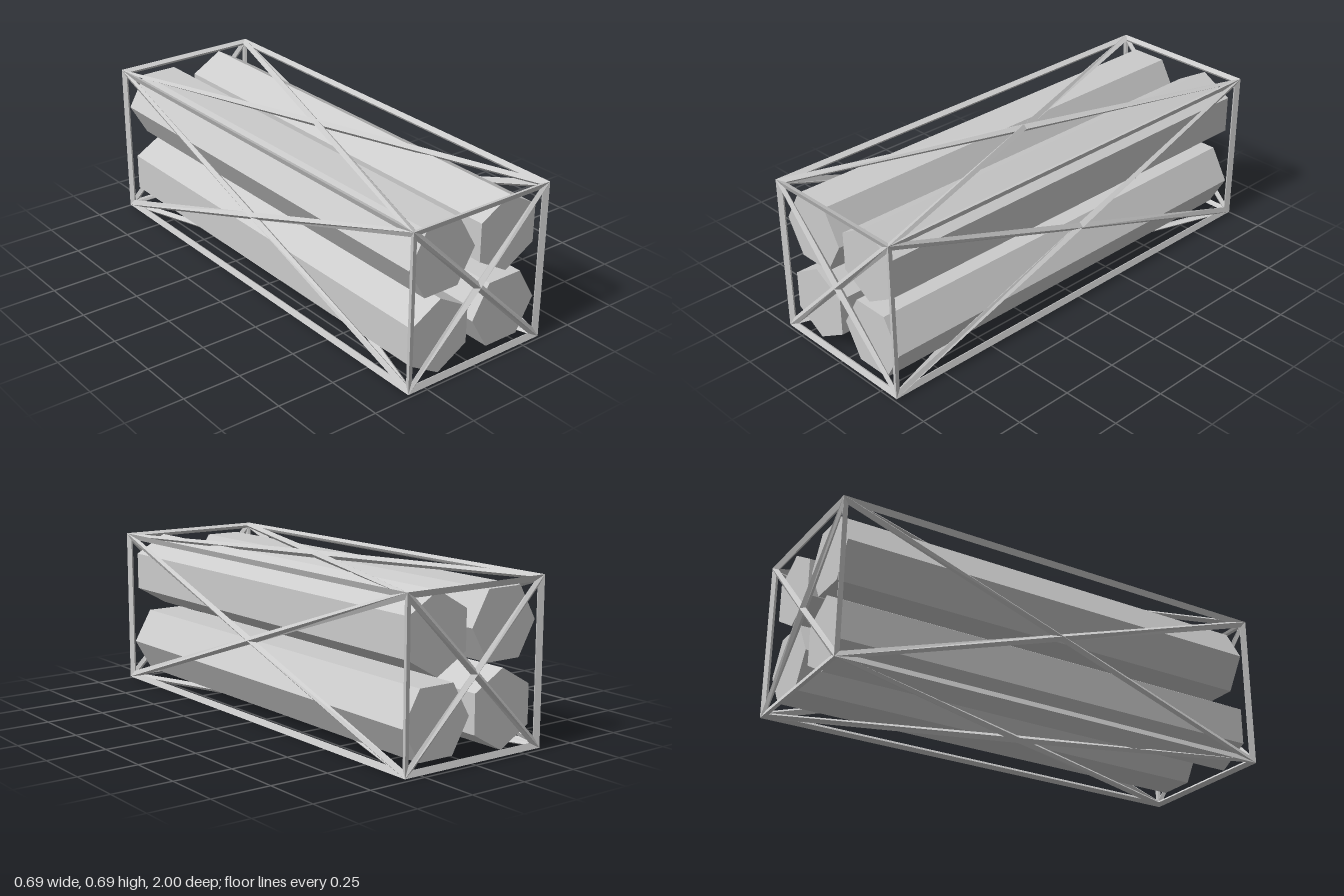
import * as THREE from 'three';

const HALF = [0.328, 0.328, 0.9835]; // centre lines of the cage
const INSET = 0.0152; // half width of a strut within its panel
const RIDGE = 0.0165; // half depth of a strut along the vertex normal
const CENTRE_Y = 0.345;

// Cage of diamond-section struts: every box panel is split into four triangles
// around its centre, and each triangle contributes the strut sides around its opening.
function cageGeometry() {
  const positions = [];
  const quad = (a, b, c, d) => [a, b, c, a, c, d].forEach(p => positions.push(p.x, p.y, p.z));

  const node = (signs) => {
    const normal = new THREE.Vector3(...signs).normalize();
    const point = new THREE.Vector3(...signs.map((s, i) => s * HALF[i]));
    return {
      point,
      outer: point.clone().addScaledVector(normal, RIDGE),
      inner: point.clone().addScaledVector(normal, -RIDGE),
    };
  };

  // Mitred corner of the triangular opening
  const mitre = (corner, next, previous) => {
    const e1 = next.point.clone().sub(corner.point).normalize();
    const e2 = previous.point.clone().sub(corner.point).normalize();
    const sine = e1.clone().cross(e2).length();
    return corner.point.clone().addScaledVector(e1.add(e2), INSET / sine);
  };

  for (let axis = 0; axis < 3; axis++) {
    for (const sign of [-1, 1]) {
      const at = (u, v) => {
        const signs = [0, 0, 0];
        signs[axis] = sign;
        signs[(axis + 1) % 3] = u;
        signs[(axis + 2) % 3] = v;
        return node(signs);
      };
      const corners = [at(-1, -1), at(1, -1), at(1, 1), at(-1, 1)];
      if (sign < 0) corners.reverse();
      const centre = at(0, 0);
      for (let i = 0; i < 4; i++) {
        const tri = [corners[i], corners[(i + 1) % 4], centre];
        const hole = tri.map((n, k) => mitre(n, tri[(k + 1) % 3], tri[(k + 2) % 3]));
        for (let k = 0; k < 3; k++) {
          const m = (k + 1) % 3;
          quad(tri[k].outer, tri[m].outer, hole[m], hole[k]);
          quad(hole[k], hole[m], tri[m].inner, tri[k].inner);
        }
      }
    }
  }
  const geometry = new THREE.BufferGeometry();
  geometry.setAttribute('position', new THREE.Float32BufferAttribute(positions, 3));
  geometry.computeVertexNormals();
  return geometry;
}

export function createModel() {
  const model = new THREE.Group();
  model.name = 'cagedRods';
  const material = new THREE.MeshStandardMaterial({ color: 0xcccccc, flatShading: true });

  const cage = new THREE.Mesh(cageGeometry(), material);
  cage.name = 'bracedCage';
  cage.position.y = CENTRE_Y;
  model.add(cage);

  // Four hexagonal rods; diagonal neighbours share the same turn
  const rods = new THREE.Group();
  rods.name = 'hexagonalRods';
  for (const x of [-1, 1]) {
    for (const y of [-1, 1]) {
      const turn = x * y > 0 ? 0 : Math.PI / 6;
      const geometry = new THREE.CylinderGeometry(0.16, 0.16, 1.92, 6, 1, false, turn);
      geometry.rotateX(Math.PI / 2);
      const rod = new THREE.Mesh(geometry, material);
      rod.name = (y > 0 ? 'upper' : 'lower') + (x > 0 ? 'Left' : 'Right') + 'Rod';
      rod.position.set(x * 0.164, CENTRE_Y + y * 0.164, 0);
      rods.add(rod);
    }
  }
  model.add(rods);
  return model;
}
